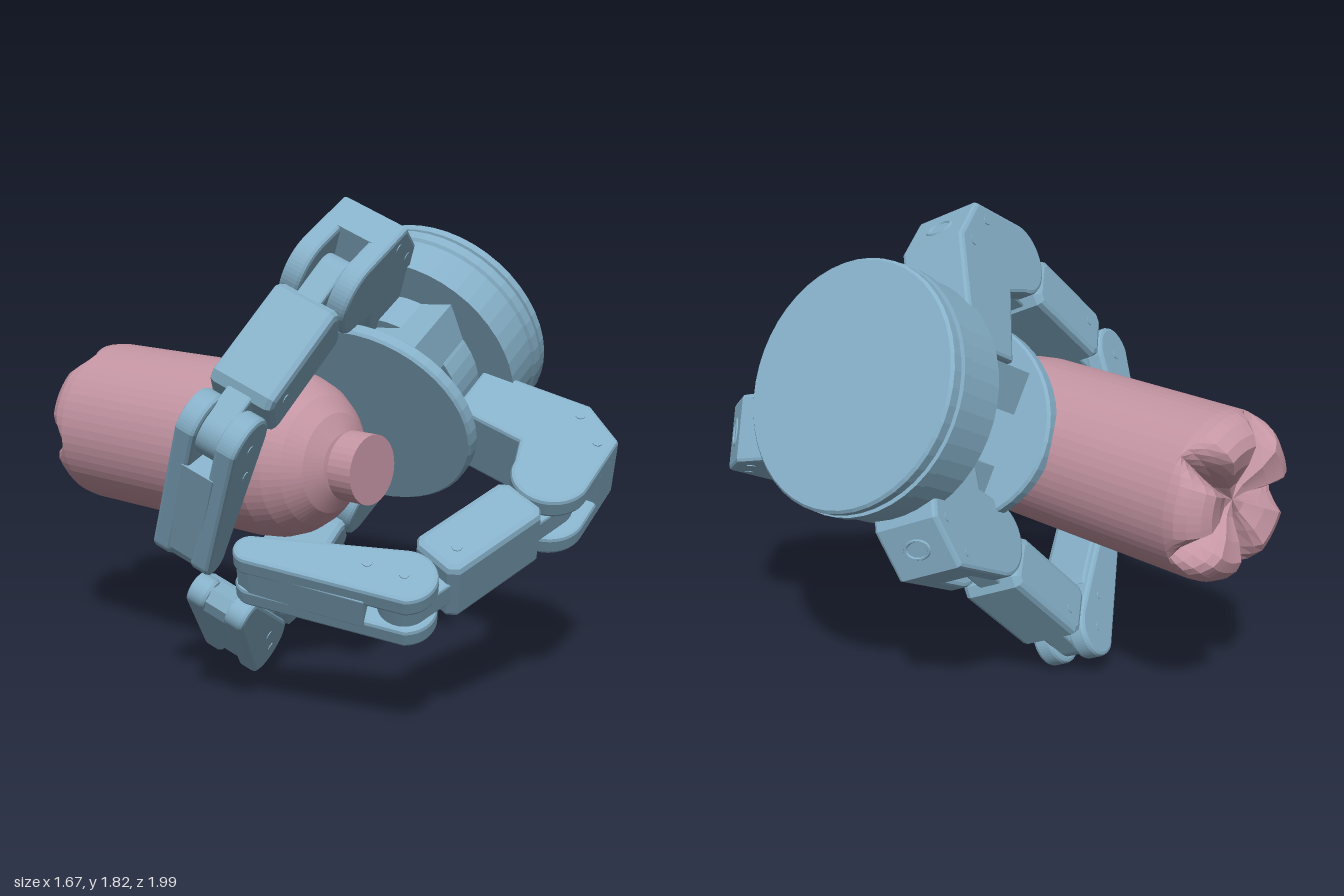
import * as THREE from 'three';

const blue = new THREE.MeshStandardMaterial({ color: 0x86b0c8, flatShading: true });
const pink = new THREE.MeshStandardMaterial({ color: 0xc495a3, flatShading: true });
const V = (x, y, z) => new THREE.Vector3(x, y, z);

function part(name, geometry, material = blue) {
  const mesh = new THREE.Mesh(geometry, material);
  mesh.name = name;
  return mesh;
}

// Profile extruded along z, centred on zc, with a small bevel kept inside the given width
function slab(name, shape, width, zc = 0, bevel = 0.015) {
  const geo = new THREE.ExtrudeGeometry(shape, {
    depth: width - 2 * bevel, bevelEnabled: true, bevelThickness: bevel,
    bevelSize: bevel, bevelOffset: -bevel, bevelSegments: 2, curveSegments: 14,
  });
  geo.translate(0, 0, zc - width / 2 + bevel);
  return part(name, geo);
}

const polygon = (pts) => new THREE.Shape(pts.map(([x, y]) => new THREE.Vector2(x, y)));

// Two cheek plates with a core between them, leaving a slot at the hinge
function fork(name, outline, core, width, cheek) {
  const g = new THREE.Group();
  g.name = name;
  for (const s of [-1, 1]) g.add(slab(name + 'Cheek', outline, cheek, s * (width - cheek) / 2));
  g.add(slab(name + 'Core', core, width - 2 * cheek + 0.05, 0, 0.004));
  return g;
}

// Short screw heads on both sides of a part
function screws(group, x, y, halfWidth, r = 0.018) {
  for (const s of [-1, 1]) {
    const geo = new THREE.CylinderGeometry(r, r, 0.006, 10);
    geo.rotateX(Math.PI / 2).translate(x, y, s * halfWidth);
    group.add(part('screw', geo));
  }
}

function knuckle() {
  const outline = new THREE.Shape();
  outline.absarc(0, 0, 0.14, Math.PI * 0.52, Math.PI * 1.5, false);
  for (const [x, y] of [[0.1, -0.17], [0.14, -0.45], [0.39, -0.45], [0.39, -0.02], [0.27, 0.14]]) outline.lineTo(x, y);
  const core = polygon([[0.1, -0.17], [0.14, -0.45], [0.39, -0.45], [0.39, -0.02], [0.27, 0.14], [0.12, 0.14]]);
  const g = fork('knuckle', outline, core, 0.27, 0.08);
  screws(g, 0.22, 0.08, 0.135);
  screws(g, 0.32, -0.03, 0.135);
  // Oval rim on the slanted outer corner
  const rim = part('knuckleRim', new THREE.TorusGeometry(0.035, 0.006, 6, 20));
  rim.geometry.scale(1, 1.4, 1).rotateX(Math.PI / 2).rotateZ(-0.93);
  rim.position.set(0.33, 0.06, 0);
  g.add(rim);
  return g;
}

function middleLink() {
  const g = new THREE.Group();
  g.name = 'middleLink';
  const body = polygon([[0.13, -0.08], [0.16, -0.11], [0.54, -0.11], [0.57, -0.08], [0.57, 0.07], [0.54, 0.1], [0.16, 0.1], [0.13, 0.07]]);
  g.add(slab('linkBody', body, 0.25, 0, 0.025));
  const tongue = new THREE.Shape();
  tongue.absarc(0, 0, 0.09, Math.PI / 2, Math.PI * 1.5, false);
  tongue.absarc(LINK, 0, 0.09, -Math.PI / 2, Math.PI / 2, false);
  g.add(slab('linkTongue', tongue, 0.1, 0, 0.01));
  screws(g, 0.48, -0.03, 0.125);
  return g;
}

function fingertip() {
  const outline = new THREE.Shape();
  outline.absarc(0, 0, 0.115, Math.PI / 2, Math.PI * 1.45, false);
  outline.absarc(0.53, 0.03, 0.06, -Math.PI * 0.45, Math.PI / 2, false);
  const core = polygon([[0.12, -0.097], [0.53, -0.028], [0.575, 0], [0.585, 0.05], [0.53, 0.088], [0.12, 0.108]]);
  const g = fork('fingertip', outline, core, 0.24, 0.08);
  // Grip pad on the inner side
  const pad = polygon([[0.14, 0.08], [0.53, 0.06], [0.53, 0.09], [0.5, 0.105], [0.17, 0.12], [0.14, 0.11]]);
  g.add(slab('gripPad', pad, 0.2, 0, 0.012));
  screws(g, 0, 0, 0.12);
  screws(g, 0.13, 0.03, 0.12);
  return g;
}

const LINK = 0.69;
const axis = V(0.887, 0.456, -0.07).normalize();
const hub = V(0.63, 1.3, 0.075);

// Finger frame: x along the wrist axis, y outward, z along the hinges
function finger(name, pivot, outward, linkDeg, tipDeg) {
  const y = outward.clone().addScaledVector(axis, -outward.dot(axis)).normalize();
  const z = axis.clone().cross(y);
  const g = new THREE.Group();
  g.name = name;
  g.quaternion.setFromRotationMatrix(new THREE.Matrix4().makeBasis(axis, y, z));
  g.position.copy(pivot);
  const a = THREE.MathUtils.degToRad(linkDeg);
  const link = middleLink();
  link.rotation.z = a;
  const tip = fingertip();
  tip.position.set(LINK * Math.cos(a), LINK * Math.sin(a), 0);
  tip.rotation.z = THREE.MathUtils.degToRad(tipDeg);
  g.add(knuckle(), link, tip);
  return g;
}

const lathe = (pts, n) => new THREE.LatheGeometry(pts.map(([r, h]) => new THREE.Vector2(r, h)), n);

// Wrist flange, neck, palm blocks and oval palm plate, stacked along the wrist axis
function wrist() {
  const g = new THREE.Group();
  g.name = 'wrist';
  g.add(part('flange', lathe([[0, -0.27], [0.445, -0.27], [0.445, -0.11], [0.455, -0.1], [0.455, -0.06],
    [0.44, -0.06], [0.44, -0.045], [0.45, -0.04], [0.45, -0.01], [0.44, 0], [0, 0]], 48)));
  g.add(part('palmNeck', lathe([[0.3, -0.26], [0, -0.26], [0, -0.43], [0.3, -0.43], [0.3, -0.26]], 40)));
  for (const s of [-1, 1]) {
    const block = part('palmBlock', new THREE.BoxGeometry(0.16, 0.34, 0.56));
    block.position.set(s * 0.18, -0.43, 0);
    g.add(block);
  }
  const plate = lathe([[0, -0.64], [0.45, -0.64], [0.46, -0.63], [0.46, -0.59], [0.45, -0.58], [0, -0.58]], 48);
  g.add(part('palmPlate', plate.scale(0.85, 1, 1)));
  g.quaternion.setFromUnitVectors(V(0, 1, 0), axis);
  g.position.copy(hub);
  return g;
}

function bottle() {
  const g = new THREE.Group();
  g.name = 'bottle';
  const body = lathe([[0, -0.93], [0.06, -0.94], [0.14, -0.98], [0.21, -1], [0.25, -0.985], [0.285, -0.95],
    [0.305, -0.91], [0.31, -0.87], [0.31, -0.03], [0.3, 0.06], [0.275, 0.13], [0.235, 0.19], [0.18, 0.245],
    [0.11, 0.28], [0.09, 0.285], [0.09, 0.32]], 60);
  body.rotateX(Math.PI / 2);
  // Five wedge grooves pressed into the base
  const p = body.attributes.position;
  const step = Math.PI * 0.4, first = THREE.MathUtils.degToRad(43);
  for (let i = 0; i < p.count; i++) {
    const z = p.getZ(i), r = Math.hypot(p.getX(i), p.getY(i));
    if (z > -0.88 || r < 0.03) continue;
    const t = (Math.atan2(p.getY(i), p.getX(i)) - first) / step;
    const off = Math.abs(t - Math.round(t)) * 72;
    const depth = Math.max(0, 1 - off / 16);
    p.setZ(i, THREE.MathUtils.lerp(z, -0.87, depth));
  }
  body.computeVertexNormals();
  g.add(part('bottleBody', body, pink));
  const cap = lathe([[0, 0.31], [0.125, 0.31], [0.125, 0.41], [0, 0.41]], 32);
  g.add(part('bottleCap', cap.rotateX(Math.PI / 2), pink));
  g.position.set(-0.24, 0.907, 0);
  return g;
}

export function createModel() {
  const model = new THREE.Group();
  model.name = 'gripperWithBottle';
  model.add(
    wrist(),
    finger('upperFinger', V(-0.19, 1.54, 0.18), V(-0.37, 0.79, 0.5), 198, 255),
    finger('frontFinger', V(0.25, 0.77, 0.82), V(0.2, -0.25, 0.94), 199, 250),
    finger('lowerFinger', V(0.27, 0.65, -0.16), V(0.37, -0.79, -0.5), 158, 241),
    bottle(),
  );
  return model;
}
